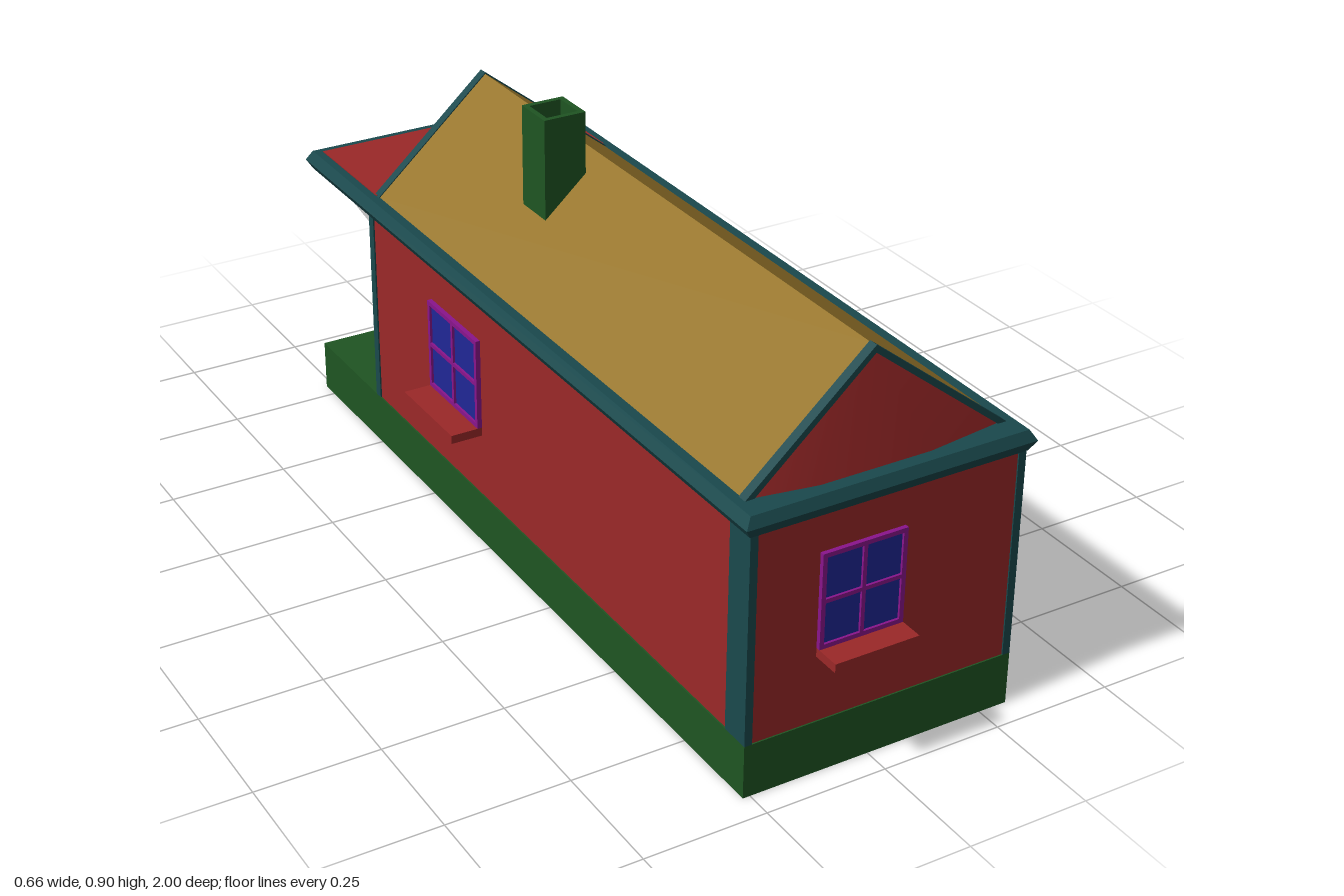
import * as THREE from 'three';

const RED = 0x9b2828, GREEN = 0x1f5523, TEAL = 0x1a494d, TAN = 0x96752a;
const PURPLE = 0x8a158c, BLUE = 0x202796, GREY = 0xcccccc;

function mesh(name, geometry, color, side = THREE.FrontSide) {
  const m = new THREE.Mesh(geometry, new THREE.MeshStandardMaterial({ color, side }));
  m.name = name;
  return m;
}

// Box given by its lower and upper limits on each axis
function box(name, color, x0, x1, y0, y1, z0, z1) {
  const m = mesh(name, new THREE.BoxGeometry(x1 - x0, y1 - y0, z1 - z0), color);
  m.position.set((x0 + x1) / 2, (y0 + y1) / 2, (z0 + z1) / 2);
  return m;
}

const polygon = (pts) => new THREE.Shape(pts.map(([x, y]) => new THREE.Vector2(x, y)));
const rect = (x0, x1, y0, y1) => polygon([[x0, y0], [x1, y0], [x1, y1], [x0, y1]]);

function extrude(shape, z0, z1) {
  return new THREE.ExtrudeGeometry(shape, { depth: z1 - z0, bevelEnabled: false }).translate(0, 0, z0);
}

// Four-pane window with sill, facing +z, standing on y = 0 with the wall at z = 0
function makeWindow(name, w, h, sillDepth) {
  const g = new THREE.Group();
  g.name = name;
  const frame = rect(-w / 2, w / 2, 0, h);
  const t = 0.009, m = 0.004;
  for (const [x0, x1] of [[-w / 2 + t, -m], [m, w / 2 - t]])
    for (const [y0, y1] of [[t, h / 2 - m], [h / 2 + m, h - t]])
      frame.holes.push(rect(x0, x1, y0, y1));
  g.add(mesh('windowFrame', extrude(frame, -0.005, 0.009), PURPLE));
  g.add(box('windowGlass', BLUE, -w / 2 + 0.004, w / 2 - 0.004, 0.004, h - 0.004, -0.005, 0.004));
  g.add(box('windowSill', RED, -w / 2, w / 2, -0.018, 0, -0.005, sillDepth));
  return g;
}

// Slightly bowed gable panel between roof and eaves
function gablePanel() {
  const g = new THREE.BufferGeometry();
  g.setAttribute('position', new THREE.Float32BufferAttribute([
    0.005, 0.798, 0.897,
    -0.245, 0.578, 0.897, -0.11, 0.578, 0.92, 0.12, 0.578, 0.92, 0.29, 0.578, 0.897], 3));
  g.setIndex([0, 1, 2, 0, 2, 3, 0, 3, 4]);
  g.computeVertexNormals();
  return g;
}

export function createModel() {
  const house = new THREE.Group();
  house.name = 'house';

  // Foundation, porch deck and steps
  house.add(box('foundation', GREEN, -0.265, 0.31, 0, 0.11, -0.79, 0.945));
  [[0.085, -0.865], [0.058, -0.932], [0.026, -1]].forEach(([top, z]) =>
    house.add(box('step', GREEN, 0.005, 0.29, 0, top, z, -0.785)));

  // Walls and corner boards
  house.add(box('walls', RED, -0.262, 0.307, 0.11, 0.54, -0.517, 0.942));
  for (const [x0, x1] of [[-0.265, -0.249], [0.294, 0.31]]) {
    house.add(box('frontCornerBoard', TEAL, x0, x1, 0.11, 0.54, 0.882, 0.945));
    house.add(box('backCornerBoard', TEAL, x0, x1, 0.11, 0.54, -0.52, -0.5));
  }

  // Eave slab with a pointed rim, reaching over the porch
  const eaveGeo = new THREE.BoxGeometry(0.579, 0.042, 1.738, 1, 2, 1);
  const p = eaveGeo.attributes.position;
  for (let i = 0; i < p.count; i++) {
    if (Math.abs(p.getY(i)) > 0.01) continue;
    p.setX(i, p.getX(i) + Math.sign(p.getX(i)) * 0.013);
    p.setZ(i, p.getZ(i) + Math.sign(p.getZ(i)) * 0.01);
  }
  const flatEave = eaveGeo.toNonIndexed();
  flatEave.computeVertexNormals();
  const eaves = mesh('eaves', flatEave, TEAL);
  eaves.position.set(0.0225, 0.557, 0.077);
  house.add(eaves);
  house.add(box('porchRoof', RED, -0.25, 0.295, 0.57, 0.58, -0.775, -0.51));

  // Brackets under the porch roof
  const bracket = polygon([[0, 0.485], [0, 0.537], [0.27, 0.537]]);
  for (let i = 0; i < 5; i++) {
    const b = mesh('porchBracket', extrude(bracket, -0.01, 0.01), GREY);
    b.rotation.y = Math.PI / 2;
    b.position.set(-0.233 + i * 0.126, 0, -0.517);
    house.add(b);
  }

  // Pitched roof with edge trims and gables at both ends
  const roof = polygon([[-0.248, 0.577], [0.293, 0.577], [0.005, 0.803]]);
  house.add(mesh('roof', extrude(roof, -0.505, 0.887), TAN));
  for (const [z0, z1] of [[0.882, 0.902], [-0.52, -0.5]]) {
    const trim = polygon([[-0.252, 0.576], [0.298, 0.576], [0.005, 0.806]]);
    trim.holes.push(polygon([[-0.232, 0.577], [0.278, 0.577], [0.005, 0.791]]));
    house.add(mesh('gableTrim', extrude(trim, z0, z1), TEAL));
  }
  house.add(mesh('frontGable', gablePanel(), RED, THREE.DoubleSide));
  const backGable = mesh('backGable', gablePanel(), RED, THREE.DoubleSide);
  backGable.scale.z = -1;
  backGable.position.z = 0.382;
  house.add(backGable);

  // Hollow chimney
  const flue = rect(-0.045, 0.045, -0.045, 0.045);
  flue.holes.push(rect(-0.034, 0.034, -0.034, 0.034));
  const chimney = mesh('chimney', extrude(flue, 0, 0.28), GREEN);
  chimney.rotation.x = -Math.PI / 2;
  chimney.position.set(-0.075, 0.62, -0.062);
  house.add(chimney);

  // Windows
  const front = makeWindow('frontWindow', 0.177, 0.195, 0.058);
  front.position.set(-0.031, 0.265, 0.942);
  const side = makeWindow('sideWindow', 0.21, 0.195, 0.067);
  side.position.set(-0.263, 0.265, -0.135);
  side.rotation.y = -Math.PI / 2;
  const back = makeWindow('backWindow', 0.177, 0.195, 0.053);
  back.position.set(-0.14, 0.265, -0.517);
  back.rotation.y = Math.PI;
  house.add(front, side, back);

  // Back door
  const doorFrame = polygon([[0.078, 0.11], [0.087, 0.11], [0.087, 0.451], [0.235, 0.451],
    [0.235, 0.11], [0.244, 0.11], [0.244, 0.46], [0.078, 0.46]]);
  house.add(mesh('doorFrame', extrude(doorFrame, -0.526, -0.51), PURPLE));
  house.add(box('door', GREY, 0.085, 0.237, 0.11, 0.453, -0.521, -0.51));

  return house;
}
